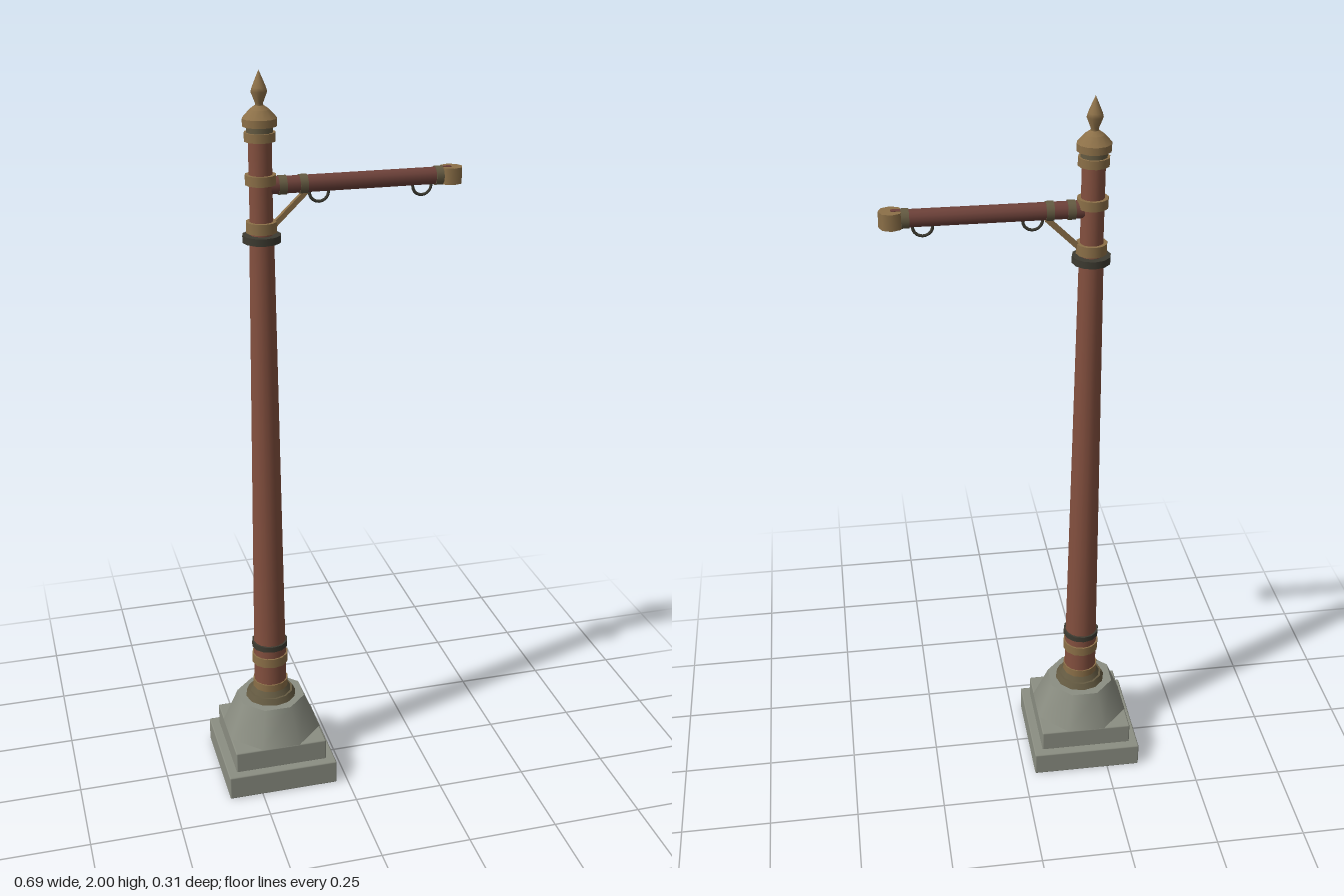
import * as THREE from 'three';
import { RoundedBoxGeometry } from 'three/addons/geometries/RoundedBoxGeometry.js';

const mat = (name, color) => Object.assign(new THREE.MeshStandardMaterial({ color }), { name });

export function createModel() {
  const stone = mat('stone', 0x8b8e82);
  const red = mat('red paint', 0x84503f);
  const darkRed = mat('dark red paint', 0x6e423a);
  const brass = mat('brass', 0x8c7048);
  const bronze = mat('dark bronze', 0x655b42);
  const iron = mat('dark iron', 0x3d3b31);

  const model = new THREE.Group();
  model.name = 'signalPost';
  const post = new THREE.Group();
  post.name = 'post';
  post.position.x = -0.188;
  const arm = new THREE.Group();
  arm.name = 'arm';
  arm.position.y = 1.715;
  model.add(post, arm);

  const add = (parent, name, geometry, material, x = 0, y = 0, z = 0) => {
    const mesh = new THREE.Mesh(geometry, material);
    mesh.name = name;
    mesh.position.set(x, y, z);
    parent.add(mesh);
    return mesh;
  };
  // upright drum of the post between two heights
  const drum = (name, y0, y1, r0, r1, material, sides = 12) =>
    add(post, name, new THREE.CylinderGeometry(r1, r0, y1 - y0, sides), material, 0, (y0 + y1) / 2);
  // drum lying along the arm
  const armDrum = (name, x0, x1, r, material) => {
    const g = new THREE.CylinderGeometry(r, r, x1 - x0, 12).rotateZ(-Math.PI / 2);
    return add(arm, name, g, material, (x0 + x1) / 2);
  };

  // stepped stone base with an octagonal top
  add(post, 'plinth', new RoundedBoxGeometry(0.312, 0.07, 0.312, 1, 0.004), stone, 0, 0.035);
  add(post, 'plinthStep', new RoundedBoxGeometry(0.262, 0.064, 0.262, 1, 0.004), stone, 0, 0.099);
  const k = Math.cos(Math.PI / 8);
  drum('octagonalBase', 0.13, 0.233, 0.131 / k, 0.09 / k, stone, 8).rotation.y = Math.PI / 8;

  // foot of the post
  drum('footFlare', 0.233, 0.25, 0.072, 0.064, bronze);
  drum('footFlareTop', 0.25, 0.265, 0.058, 0.05, bronze);
  drum('footCollar', 0.262, 0.287, 0.05, 0.05, brass);
  drum('footShaft', 0.265, 0.4, 0.046, 0.046, red, 16);
  drum('footBand', 0.345, 0.372, 0.051, 0.051, brass);
  drum('footRing', 0.396, 0.412, 0.051, 0.051, iron);

  // tapering shaft and upper post
  drum('shaft', 0.41, 1.575, 0.045, 0.032, red, 16);
  drum('shaftRing', 1.573, 1.592, 0.05, 0.05, iron);
  drum('upperPost', 1.575, 1.845, 0.03, 0.03, red, 16);
  for (const [y0, y1] of [[1.598, 1.626], [1.72, 1.745], [1.828, 1.85]])
    drum('postBand', y0, y1, 0.04, 0.04, brass);

  // cap and finial
  drum('capRing', 1.85, 1.867, 0.034, 0.034, bronze);
  drum('capRim', 1.865, 1.884, 0.044, 0.044, brass);
  drum('capDome', 1.884, 1.905, 0.044, 0.025, brass);
  drum('capShoulder', 1.905, 1.915, 0.025, 0.011, brass);
  const finial = [[0.011, 1.912], [0.01, 1.92], [0.021, 1.948], [0.018, 1.958], [0.008, 1.982], [0, 2]]
    .map(([r, y]) => new THREE.Vector2(r, y));
  add(post, 'finial', new THREE.LatheGeometry(finial, 12), brass);

  // arm, its collars and end block
  armDrum('armTube', -0.165, 0.288, 0.0225, darkRed);
  for (const x of [-0.144, -0.09, 0.268]) armDrum('armCollar', x, x + 0.02, 0.025, bronze);
  add(arm, 'endBlock', new THREE.CylinderGeometry(0.031, 0.031, 0.042, 8), brass, 0.312);
  add(arm, 'endTongue', new THREE.BoxGeometry(0.026, 0.004, 0.014), darkRed, 0.299, 0.0205);

  // hanging loops under the arm
  for (const x of [-0.038, 0.235])
    add(arm, 'hangingLoop', new THREE.TorusGeometry(0.025, 0.004, 6, 20), iron, x, -0.023);

  // diagonal brace from the post to the arm
  const a = new THREE.Vector2(-0.16, -0.105), b = new THREE.Vector2(-0.072, -0.02);
  const d = b.clone().sub(a);
  add(arm, 'brace', new THREE.BoxGeometry(d.length(), 0.013, 0.014), brass,
    (a.x + b.x) / 2, (a.y + b.y) / 2).rotation.z = d.angle();

  return model;
}
